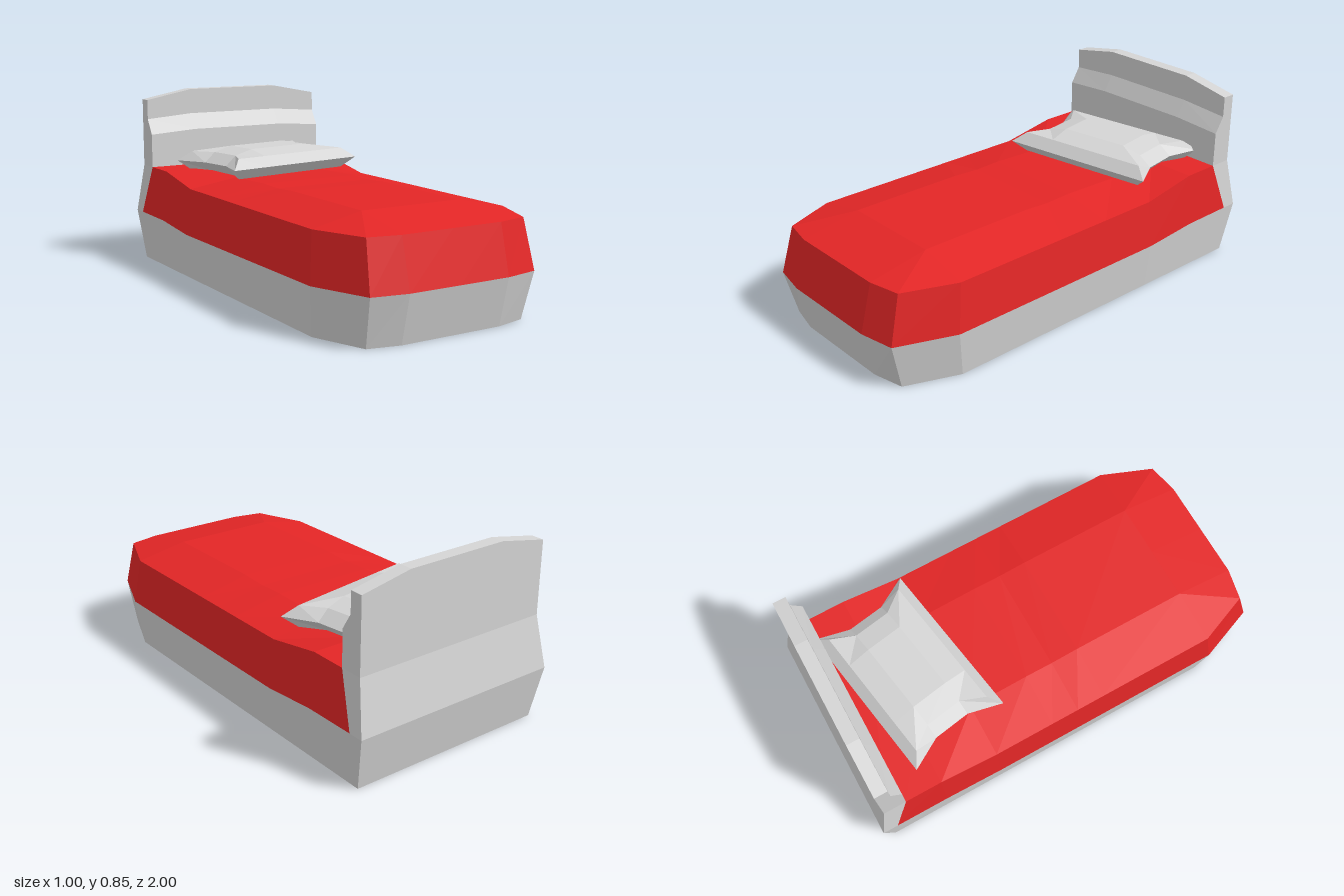
import * as THREE from 'three';

const grey = new THREE.MeshStandardMaterial({ color: 0xd4d4d4 });
grey.name = 'pale grey';
const red = new THREE.MeshStandardMaterial({ color: 0xe32626 });
red.name = 'blanket red';

// Flat-shaded surface from several sheets; each sheet is a list of point rows
function surface(name, material, sheets) {
  const pos = [];
  for (const rows of sheets) {
    for (let i = 0; i < rows.length - 1; i++) {
      for (let j = 0; j < rows[i].length - 1; j++) {
        const a = rows[i][j], b = rows[i + 1][j], c = rows[i + 1][j + 1], d = rows[i][j + 1];
        pos.push(...a, ...b, ...c, ...a, ...c, ...d);
      }
    }
  }
  const geometry = new THREE.BufferGeometry();
  geometry.setAttribute('position', new THREE.Float32BufferAttribute(pos, 3));
  geometry.computeVertexNormals();
  const mesh = new THREE.Mesh(geometry, material);
  mesh.name = name;
  return mesh;
}

const flip = ([x, y, z]) => [-x, y, z];

// Stations from foot to head: base, widest seam, mattress edge and crown points
function bedStations() {
  const crownFoot = [0.24, 0.475, 0.67];
  const stations = [
    [[0, 0, 0.95], [0, 0.213, 1], [0, 0.427, 0.945], [0, 0.475, 0.67]],
    [[0.24, 0, 0.95], [0.24, 0.213, 1], [0.24, 0.427, 0.945], crownFoot],
    [[0.382, 0, 0.918], [0.4, 0.213, 0.97], [0.382, 0.427, 0.915], crownFoot],
    [[0.475, 0, 0.68], [0.5, 0.213, 0.71], [0.475, 0.427, 0.68], crownFoot],
  ];
  // z, seam height, edge height, crown height
  const straight = [
    [0.13, 0.213, 0.427, 0.475], [0, 0.213, 0.427, 0.468], [-0.13, 0.213, 0.427, 0.472],
    [-0.41, 0.213, 0.427, 0.463], [-0.68, 0.237, 0.475, 0.475],
  ];
  for (const [z, seam, edge, crown] of straight) {
    stations.push([[0.475, 0, z], [0.5, seam, z], [0.475, edge, z], [0.24, crown, z]]);
  }
  stations.push([[0.475, 0, -0.955], [0.5, 0.24, -0.93], [0.475, 0.475, -0.85], [0.24, 0.475, -0.85]]);
  return stations;
}

function createHeadboard() {
  // half width, height at sides, height in the middle, front z, back z
  const levels = [
    [0.475, 0, 0, -0.955, -0.955],
    [0.5, 0.24, 0.24, -0.93, -1],
    [0.475, 0.475, 0.475, -0.85, -0.955],
    [0.475, 0.637, 0.652, -0.85, -0.955],
    [0.475, 0.71, 0.728, -0.895, -0.955],
    [0.475, 0.805, 0.85, -0.895, -0.955],
  ];
  const row = (w, side, mid, z) => [[w, side, z], [0.24, mid, z], [-0.24, mid, z], [-w, side, z]];
  const rings = levels.map(([w, side, mid, front, back]) => {
    const f = row(w, side, mid, front);
    return [...f, ...row(w, side, mid, back).reverse(), f[0]];
  });
  const [w, side, mid, front, back] = levels[levels.length - 1];
  return surface('headboard', grey, [rings, [row(w, side, mid, front), row(w, side, mid, back)]]);
}

// Cushion with pinched sides: 4 x 4 point grids joined around a wide rim
function createPillow() {
  const grid = (w, d, edge, crown, pinch) => [d, 0.085, -0.085, -d].map((z, i) => {
    const inner = i === 1 || i === 2;
    const x = inner ? w - pinch : w;
    return [x, 0.165, -0.165, -x].map((px, j) => [px, inner && (j === 1 || j === 2) ? crown : edge, z]);
  });
  const ring = (g) => [...g[0], g[1][3], g[2][3], ...[...g[3]].reverse(), g[2][0], g[1][0], g[0][0]];
  const bottom = grid(0.32, 0.19, -0.05, -0.05, 0.055);
  const rim = grid(0.377, 0.236, 0, 0, 0.06);
  const top = grid(0.32, 0.19, 0.046, 0.069, 0.06);
  const pillow = surface('pillow', grey, [[ring(bottom), ring(rim), ring(top)], top, [...bottom].reverse()]);
  pillow.position.set(0.025, 0.515, -0.577);
  pillow.rotation.y = 0.164;
  return pillow;
}

export function createModel() {
  const model = new THREE.Group();
  model.name = 'bed';
  const stations = bedStations();

  // Base wraps seam to seam underneath; blanket wraps seam to seam over the top
  model.add(surface('bedBase', grey, [stations.map(([b, m]) => [flip(m), flip(b), b, m])]));
  model.add(surface('blanket', red, [
    stations.map(([, m, t, c]) => [m, t, c, flip(c), flip(t), flip(m)]),
  ]));
  model.add(createHeadboard(), createPillow());
  return model;
}
